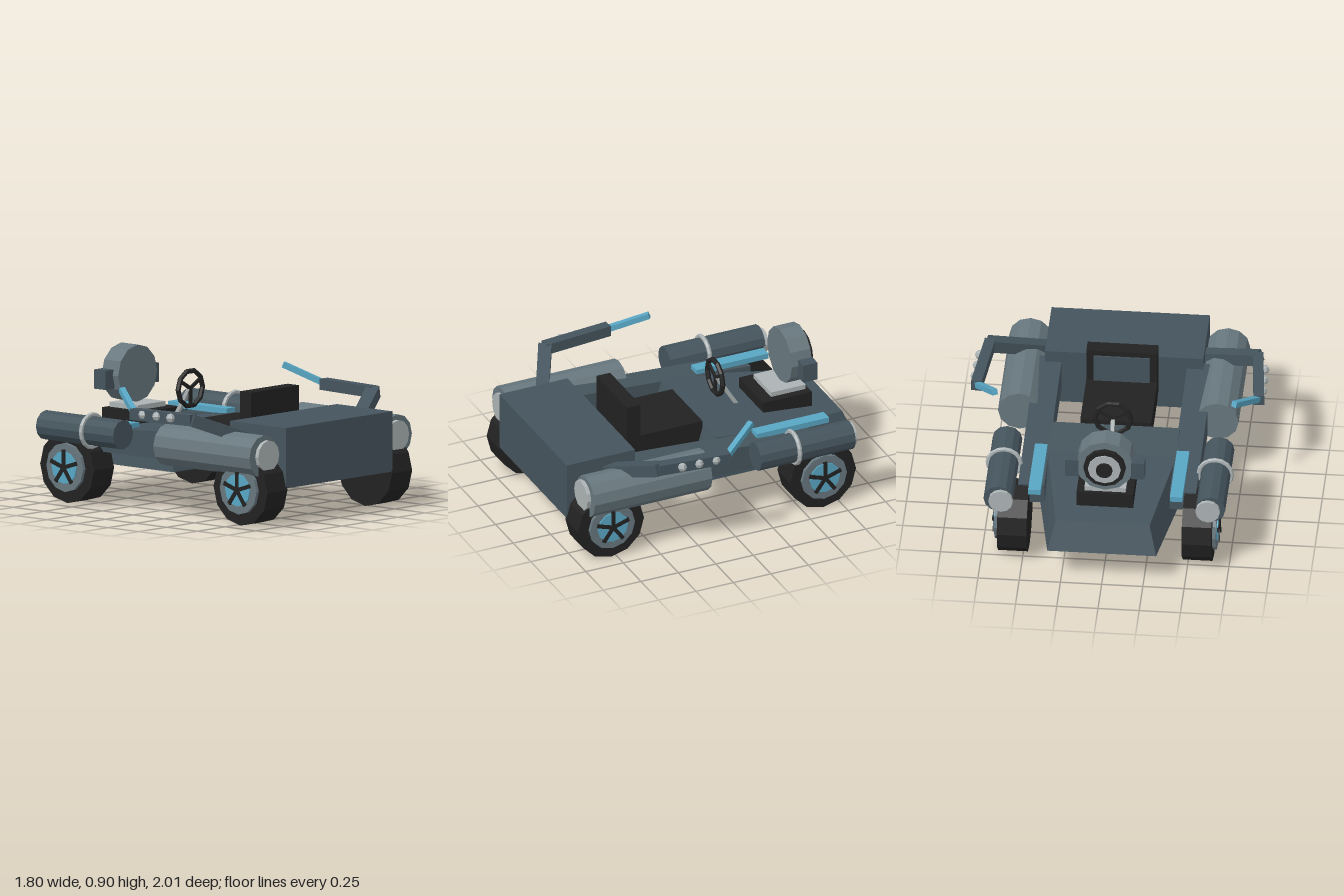
import * as THREE from 'three';

const mat = (name, color) => {
  const m = new THREE.MeshStandardMaterial({ color, flatShading: true });
  m.name = name;
  return m;
};

export function createModel() {
  const body = mat('dark slate', 0x45545d);
  const pale = mat('light slate', 0x67777e);
  const black = mat('black', 0x222222);
  const silver = mat('silver', 0xacb3b4);
  const blue = mat('blue', 0x58a6c4);
  const root = new THREE.Group();
  root.name = 'buggy';

  const add = (name, geo, m, x = 0, y = 0, z = 0, parent = root) => {
    const mesh = new THREE.Mesh(geo, m);
    mesh.name = name;
    mesh.position.set(x, y, z);
    parent.add(mesh);
    return mesh;
  };
  // box given by its limits
  const box = (name, m, x0, x1, y0, y1, z0, z1, parent = root) =>
    add(name, new THREE.BoxGeometry(x1 - x0, y1 - y0, z1 - z0), m,
      (x0 + x1) / 2, (y0 + y1) / 2, (z0 + z1) / 2, parent);
  // cylinder along z from z0 to z1
  const rod = (name, m, r, x, y, z0, z1, parent = root, sides = 12) =>
    add(name, new THREE.CylinderGeometry(r, r, z1 - z0, sides).rotateX(Math.PI / 2), m,
      x, y, (z0 + z1) / 2, parent);
  // square bar between two points
  const bar = (name, m, a, b, w, h, parent = root) => {
    const p = new THREE.Vector3(...a), q = new THREE.Vector3(...b);
    const mesh = add(name, new THREE.BoxGeometry(w, h, p.distanceTo(q)), m, 0, 0, 0, parent);
    mesh.position.copy(p).add(q).multiplyScalar(0.5);
    mesh.quaternion.setFromRotationMatrix(
      new THREE.Matrix4().lookAt(q, p, new THREE.Vector3(0, 1, 0)));
    return mesh;
  };
  // solid lofted through four-cornered sections that run towards -z
  const loft = (name, m, sections) => {
    const pos = [], idx = [];
    for (const [wt, yt, zt, wb, yb, zb] of sections)
      pos.push(-wb, yb, zb, wb, yb, zb, wt, yt, zt, -wt, yt, zt);
    const n = sections.length;
    for (let s = 0; s < n - 1; s++)
      for (let k = 0; k < 4; k++) {
        const a = s * 4 + k, b = s * 4 + (k + 1) % 4;
        idx.push(a, a + 4, b, b, a + 4, b + 4);
      }
    const e = (n - 1) * 4;
    idx.push(0, 1, 2, 0, 2, 3, e, e + 2, e + 1, e, e + 3, e + 2);
    const g = new THREE.BufferGeometry();
    g.setAttribute('position', new THREE.Float32BufferAttribute(pos, 3));
    g.setIndex(idx);
    const flat = g.toNonIndexed();
    flat.computeVertexNormals();
    return add(name, flat, m);
  };

  // trunk and tapered hood
  box('trunk', body, -0.48, 0.48, 0.23, 0.598, 0.545, 1);
  loft('hood', body, [
    [0.39, 0.495, -0.035, 0.43, 0.23, 0.04],
    [0.39, 0.468, -0.3, 0.43, 0.23, -0.42],
    [0.285, 0.407, -0.93, 0.33, 0.23, -1],
  ]);

  // seat
  box('seatCushion', black, -0.215, 0.215, 0.38, 0.52, -0.03, 0.42);
  const back = new THREE.Group();
  back.name = 'seatBack';
  back.position.set(0, 0.4, 0.43);
  root.add(back);
  box('backrest', black, -0.215, 0.215, 0, 0.335, -0.045, 0.045, back);
  box('backrestPanel', body, -0.17, 0.17, 0.1, 0.3, -0.053, -0.044, back);

  // steering wheel
  const steering = new THREE.Group();
  steering.name = 'steeringWheel';
  steering.position.set(0, 0.672, -0.215);
  root.add(steering);
  add('steeringRim', new THREE.TorusGeometry(0.11, 0.016, 6, 10), black, 0, 0, 0, steering);
  for (let i = 0; i < 3; i++) {
    const a = Math.PI / 2 + i * 2 * Math.PI / 3 + Math.PI;
    const s = add('steeringSpoke', new THREE.BoxGeometry(0.11, 0.02, 0.014), black,
      Math.cos(a) * 0.055, Math.sin(a) * 0.055, 0, steering);
    s.rotation.z = a;
  }
  bar('steeringColumn', silver, [0, 0.67, -0.222], [0, 0.43, -0.37], 0.024, 0.024);

  // turbine on the hood
  box('turbineBase', black, -0.172, 0.172, 0.41, 0.52, -0.78, -0.455);
  box('turbinePad', silver, -0.125, 0.125, 0.5, 0.55, -0.76, -0.53);
  rod('turbineDrum', pale, 0.175, 0, 0.722, -0.78, -0.645);
  rod('turbineRing', black, 0.128, 0, 0.722, -0.81, -0.77);
  rod('turbineFace', silver, 0.1, 0, 0.722, -0.818, -0.8);
  rod('turbineHub', black, 0.05, 0, 0.722, -0.835, -0.81);

  // everything that is mirrored; built for +x
  for (const sx of [1, -1]) {
    const side = new THREE.Group();
    side.name = sx > 0 ? 'leftSide' : 'rightSide';
    root.add(side);
    const X = (a, b) => (sx > 0 ? [a, b] : [-b, -a]);
    const P = (x, y, z) => [sx * x, y, z];

    // chassis rail, dropping slightly towards the hood end
    const rail = box('sideRail', body, ...X(0.38, 0.54), 0.32, 0.495, -0.63, 0.6, side);
    const rp = rail.geometry.attributes.position;
    for (let i = 0; i < rp.count; i++)
      if (rp.getY(i) > 0) rp.setY(i, rp.getY(i) + (rp.getZ(i) > 0 ? 0.03 : -0.045));
    rail.geometry.computeVertexNormals();
    box('hoodStrip', blue, ...X(0.392, 0.468), 0.465, 0.5, -0.755, -0.275, side);
    box('turbineLug', body, ...X(0.16, 0.24), 0.64, 0.757, -0.785, -0.69, side);

    // large and small side tanks
    rod('largeTank', pale, 0.13, sx * 0.6, 0.43, 0.145, 0.93, side);
    rod('largeTankCap', silver, 0.095, sx * 0.583, 0.434, 0.92, 0.955, side);
    rod('smallTank', body, 0.09, sx * 0.643, 0.46, -0.81, -0.18, side);
    rod('smallTankCap', silver, 0.074, sx * 0.628, 0.456, -0.835, -0.8, side);
    add('tankBand', new THREE.TorusGeometry(0.1, 0.014, 6, 16), silver, sx * 0.64, 0.46, -0.435, side);

    // folded arm with bolts and a blade
    bar('lowerArm', body, P(0.47, 0.495, 0.72), P(0.82, 0.638, 0.535), 0.08, 0.075, side);
    bar('upperArm', body, P(0.812, 0.638, 0.545), P(0.857, 0.638, 0.095), 0.065, 0.068, side);
    bar('armBlade', blue, P(0.85, 0.645, 0.1), P(0.725, 0.75, -0.115), 0.035, 0.035, side);
    for (const z of [0.41, 0.3, 0.19])
      add('armBolt', new THREE.SphereGeometry(0.029, 6, 4), silver,
        sx * (0.872 - (z - 0.19) * 0.03), 0.643, z, side);

    // wheels
    for (const z of [0.785, -0.63]) {
      const wheel = new THREE.Group();
      wheel.name = 'wheel';
      wheel.position.set(sx * 0.56, 0.22, z);
      side.add(wheel);
      const disc = (name, m, r, a, b) =>
        add(name, new THREE.CylinderGeometry(r, r, b - a, 12).rotateZ(Math.PI / 2), m,
          sx * (a + b) / 2, 0, 0, wheel);
      disc('tyre', black, 0.22, -0.09, 0.09);
      disc('rim', pale, 0.15, 0.05, 0.112);
      disc('hubDisc', blue, 0.1, 0.08, 0.12);
      for (let i = 0; i < 5; i++) {
        const a = i * 2 * Math.PI / 5;
        const s = add('spoke', new THREE.BoxGeometry(0.012, 0.11, 0.024), black,
          sx * 0.122, Math.cos(a) * 0.055, Math.sin(a) * 0.055, wheel);
        s.rotation.x = a;
      }
    }
  }
  return root;
}
